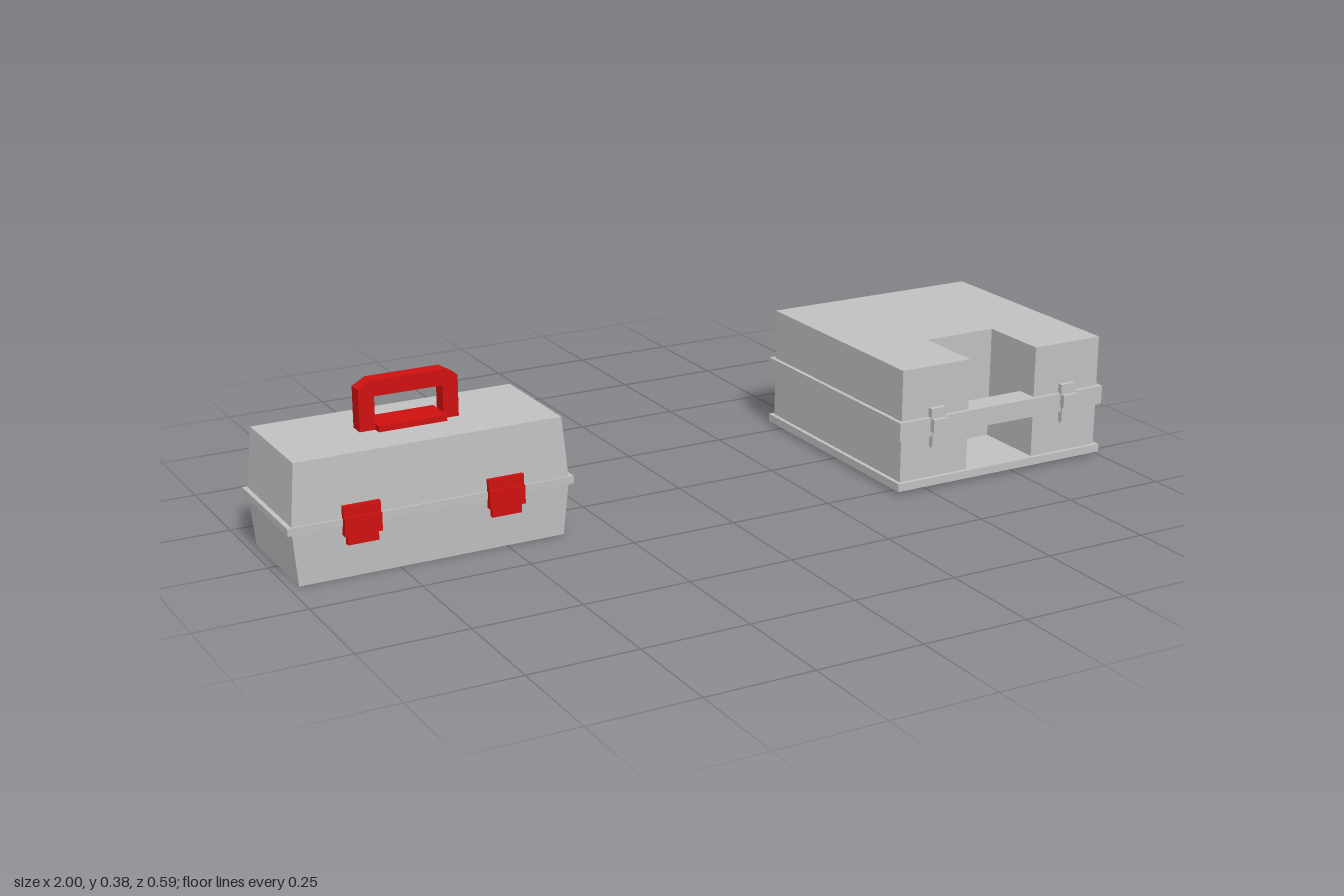
import * as THREE from 'three';

const grey = new THREE.MeshStandardMaterial({ color: 0xc0c0c0 });
grey.name = 'grey shell';
const red = new THREE.MeshStandardMaterial({ color: 0xd01010 });
red.name = 'red fittings';

function add(parent, name, geometry, material) {
  const mesh = new THREE.Mesh(geometry, material);
  mesh.name = name;
  parent.add(mesh);
  return mesh;
}

// Box given by its limits on each axis
function box(parent, name, material, [x0, x1], [y0, y1], [z0, z1]) {
  const mesh = add(parent, name, new THREE.BoxGeometry(x1 - x0, y1 - y0, z1 - z0), material);
  mesh.position.set((x0 + x1) / 2, (y0 + y1) / 2, (z0 + z1) / 2);
  return mesh;
}

// Horizontal plate from an [x, z] outline, with an optional hole
function slab(parent, name, material, outline, y0, y1, hole) {
  const toPoints = (list) => list.map(([x, z]) => new THREE.Vector2(x, -z));
  const shape = new THREE.Shape(toPoints(outline));
  if (hole) shape.holes.push(new THREE.Path(toPoints(hole)));
  const geometry = new THREE.ExtrudeGeometry(shape, { depth: y1 - y0, bevelEnabled: false });
  geometry.rotateX(-Math.PI / 2);
  add(parent, name, geometry, material).position.y = y0;
}

const rect = (x0, x1, z0, z1) => [[x0, z0], [x0, z1], [x1, z1], [x1, z0]];

// Box whose top and bottom have different half sizes
function taperedBox(parent, name, y0, y1, bottom, top) {
  const geometry = new THREE.BoxGeometry(2, y1 - y0, 2);
  const p = geometry.attributes.position;
  for (let i = 0; i < p.count; i++) {
    const [w, d] = p.getY(i) > 0 ? top : bottom;
    p.setX(i, p.getX(i) * w);
    p.setZ(i, p.getZ(i) * d);
  }
  geometry.computeVertexNormals();
  add(parent, name, geometry, grey).position.y = (y0 + y1) / 2;
}

// Small case with a red handle and latches
function createSmallCase() {
  const group = new THREE.Group();
  group.name = 'smallCase';
  taperedBox(group, 'lowerShell', 0, 0.128, [0.308, 0.133], [0.32, 0.138]);
  taperedBox(group, 'upperShell', 0.128, 0.274, [0.32, 0.138], [0.307, 0.132]);
  box(group, 'rim', grey, [-0.33, 0.33], [0.119, 0.136], [-0.142, 0.142]);

  // Handle arch with chamfered corners, standing on a base plate
  const arch = new THREE.Shape([
    [-0.115, 0.272], [0.115, 0.272], [0.115, 0.368], [0.085, 0.385],
    [-0.085, 0.385], [-0.115, 0.368],
  ].map(([x, y]) => new THREE.Vector2(x, y)));
  arch.holes.push(new THREE.Path([
    [-0.079, 0.28], [-0.079, 0.349], [0.079, 0.349], [0.079, 0.28],
  ].map(([x, y]) => new THREE.Vector2(x, y))));
  const archGeometry = new THREE.ExtrudeGeometry(arch, { depth: 0.036, bevelEnabled: false });
  add(group, 'handle', archGeometry, red).position.z = -0.018;
  box(group, 'handleBase', red, [-0.079, 0.079], [0.272, 0.288], [-0.038, 0.038]);

  for (const x of [-0.166, 0.166]) {
    const latch = new THREE.Group();
    latch.name = 'latch';
    latch.position.x = x;
    box(latch, 'latchTop', red, [-0.042, 0.042], [0.14, 0.164], [0.125, 0.147]);
    box(latch, 'latchMiddle', red, [-0.042, 0.042], [0.098, 0.14], [0.125, 0.153]);
    box(latch, 'latchTongue', red, [-0.035, 0.035], [0.077, 0.098], [0.125, 0.148]);
    group.add(latch);
  }
  group.position.set(-0.67, 0, -0.004);
  return group;
}

// Large square case with a notch in its front
function createLargeCase() {
  const group = new THREE.Group();
  group.name = 'largeCase';
  const b = 0.28, e = 0.29, n = 0.094, back = 0.105, front = b;
  slab(group, 'body', grey, [
    [-b, -b], [-b, front], [-n, front], [-n, back], [n, back], [n, front], [b, front], [b, -b],
  ], 0.026, 0.297);
  slab(group, 'basePlate', grey, rect(-e, e, -e, e), 0.008, 0.027, rect(-n, n, back, b));
  box(group, 'notchFloor', grey, [-n, n], [0.024, 0.027], [back, b]);
  slab(group, 'rim', grey, rect(-e, e, -e, e), 0.13, 0.175, rect(-n, n, back, 0.228));

  for (const x of [-0.186, 0.186]) {
    const latch = new THREE.Group();
    latch.name = 'latch';
    latch.position.x = x;
    box(latch, 'latchTop', grey, [-0.02, 0.02], [0.165, 0.197], [0.275, 0.293]);
    box(latch, 'latchMiddle', grey, [-0.02, 0.02], [0.142, 0.173], [0.275, 0.304]);
    box(latch, 'latchTongue', grey, [-0.016, 0.016], [0.102, 0.145], [0.275, 0.293]);
    group.add(latch);
  }
  group.position.set(0.71, 0, -0.005);
  return group;
}

export function createModel() {
  const model = new THREE.Group();
  model.name = 'toolCases';
  model.add(createSmallCase(), createLargeCase());
  return model;
}
